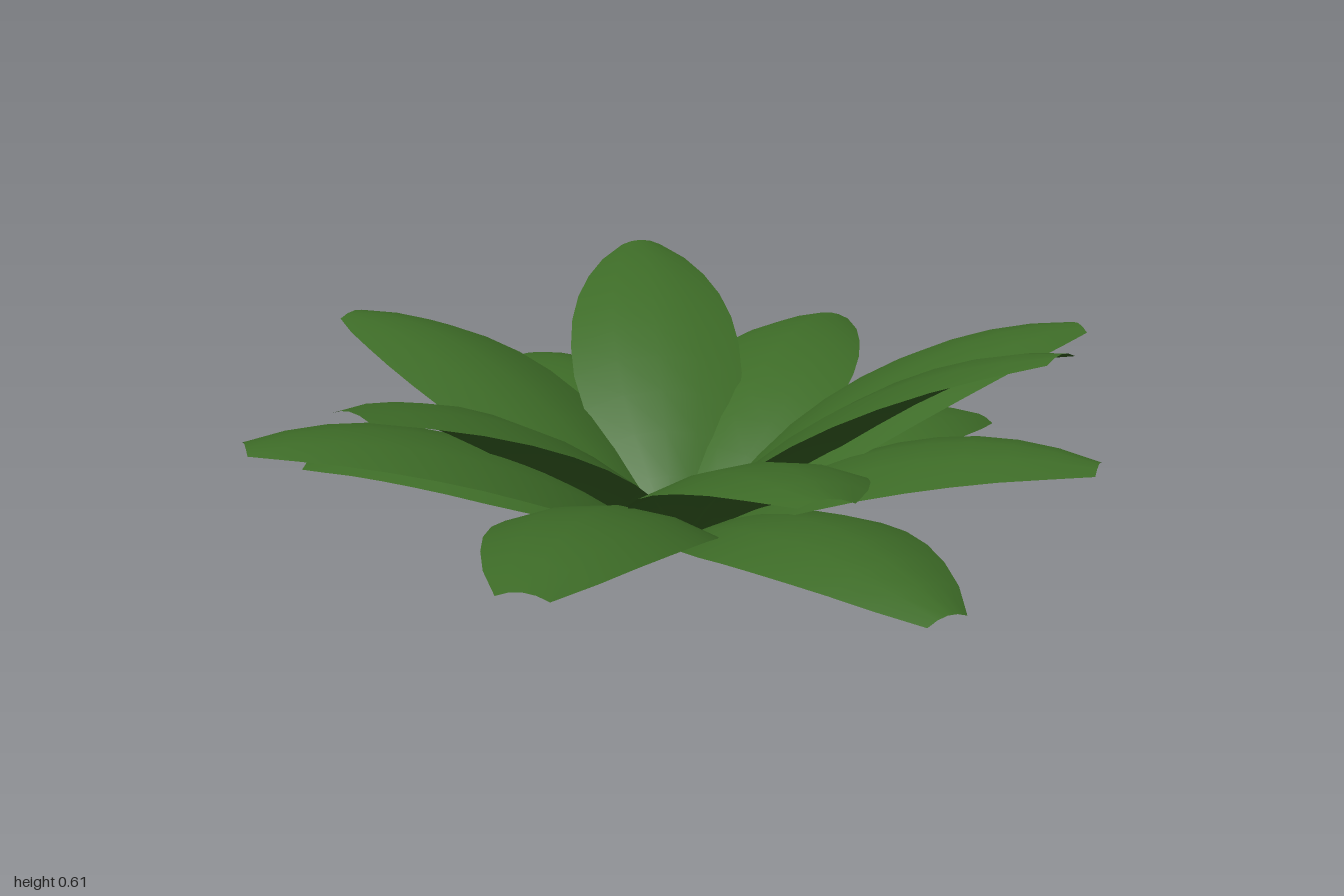
import * as THREE from 'three';

const LEAVES = 15;
const GOLDEN_ANGLE = THREE.MathUtils.degToRad(137.5);
const BASE_RADIUS = 0.05;

// half widths of a leaf at even steps from base to tip
const HALF_WIDTHS = [0.025, 0.1, 0.16, 0.2, 0.222, 0.226, 0.218, 0.197, 0.163, 0.118, 0.055];

// one leaf along +x: arched from base to tip, its edges bent down
function leafGeometry(reach, tipHeight) {
  const steps = HALF_WIDTHS.length - 1;
  const geometry = new THREE.PlaneGeometry(1, 2, steps, 4).rotateX(-Math.PI / 2);
  const p = geometry.attributes.position;
  for (let i = 0; i < p.count; i++) {
    const t = p.getX(i) + 0.5;
    const side = p.getZ(i);
    const w = HALF_WIDTHS[Math.round(t * steps)];
    const midrib = 0.006 + (tipHeight - 0.006) * t + 0.5 * t * (1 - t);
    p.setXYZ(
      i,
      BASE_RADIUS + (reach - BASE_RADIUS) * t,
      midrib - 0.24 * w * side * side,
      w * side
    );
  }
  geometry.computeVertexNormals();
  return geometry;
}

export function createModel() {
  const group = new THREE.Group();
  group.name = 'leafRosette';

  const leafGreen = new THREE.MeshStandardMaterial({ color: 0x3d6b27, side: THREE.DoubleSide });
  leafGreen.name = 'leafGreen';

  // spiral of leaves, from the steepest inner one to the flattest outer one
  for (let i = 0; i < LEAVES; i++) {
    const reach = 1 + 0.0055 * i - 0.0009 * i * i;
    const leaf = new THREE.Mesh(leafGeometry(reach, 0.605 - 0.039 * i), leafGreen);
    leaf.name = `leaf${i + 1}`;
    leaf.rotation.y = i * GOLDEN_ANGLE;
    leaf.position.z = -0.02;
    group.add(leaf);
  }
  return group;
}
